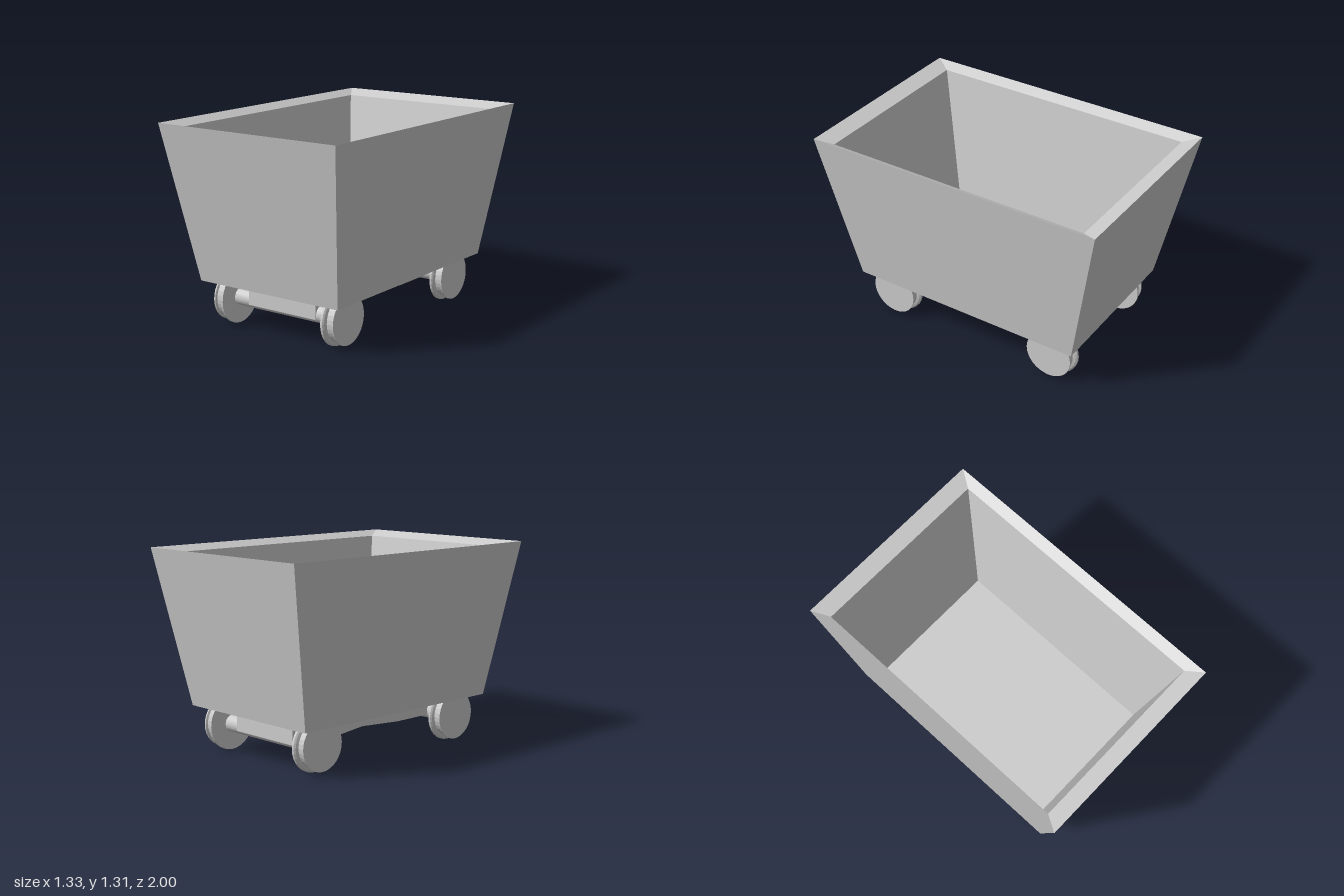
import * as THREE from 'three';

const material = new THREE.MeshStandardMaterial({ color: 0xcccccc, flatShading: true });

function addMesh(parent, name, geometry) {
  const mesh = new THREE.Mesh(geometry, material);
  mesh.name = name;
  parent.add(mesh);
  return mesh;
}

// Joins rectangular sections [halfWidth, y, halfDepth] and caps both ends
function loftRectangles(sections) {
  const positions = [];
  const index = [];
  for (const [w, y, d] of sections) {
    positions.push(-w, y, d, w, y, d, w, y, -d, -w, y, -d);
  }
  for (let s = 0; s < sections.length - 1; s++) {
    for (let i = 0; i < 4; i++) {
      const a = s * 4 + i;
      const b = s * 4 + (i + 1) % 4;
      index.push(a, b, b + 4, a, b + 4, a + 4);
    }
  }
  const e = (sections.length - 1) * 4;
  index.push(0, 2, 1, 0, 3, 2, e, e + 1, e + 2, e, e + 2, e + 3);
  const geometry = new THREE.BufferGeometry();
  geometry.setAttribute('position', new THREE.Float32BufferAttribute(positions, 3));
  geometry.setIndex(index);
  const flat = geometry.toNonIndexed();
  flat.computeVertexNormals();
  return flat;
}

export function createModel() {
  const cart = new THREE.Group();
  cart.name = 'mineCart';

  // Open tub: outer walls, rim sloping inward, inner walls and floor
  addMesh(cart, 'tub', loftRectangles([
    [0.532, 0.295, 0.8],
    [0.666, 1.308, 1.0],
    [0.6, 1.272, 0.893],
    [0.475, 0.345, 0.715],
  ]));

  // Underframe with a narrowed waist
  const plan = new THREE.Shape([
    [-0.262, -0.66], [0.262, -0.66], [0.262, -0.26], [0.2, 0], [0.262, 0.26],
    [0.262, 0.66], [-0.262, 0.66], [-0.262, 0.26], [-0.2, 0], [-0.262, -0.26],
  ].map(([x, z]) => new THREE.Vector2(x, z)));
  const frame = new THREE.ExtrudeGeometry(plan, { depth: 0.147, bevelEnabled: false });
  frame.rotateX(-Math.PI / 2);
  addMesh(cart, 'underframe', frame).position.y = 0.15;

  // Flanged wheel profile: radius, distance from the cart's centre line
  const profile = [
    [0, 0.382], [0.172, 0.382], [0.172, 0.397], [0.162, 0.405], [0.145, 0.411],
    [0.145, 0.45], [0.158, 0.456], [0.158, 0.466], [0, 0.466],
  ].map(([r, h]) => new THREE.Vector2(r, h));

  for (const end of [1, -1]) {
    const wheelset = new THREE.Group();
    wheelset.name = end > 0 ? 'frontWheelset' : 'backWheelset';
    wheelset.position.set(0, 0.172, end * 0.6);
    cart.add(wheelset);

    const axle = new THREE.CylinderGeometry(0.055, 0.055, 0.8, 32);
    addMesh(wheelset, 'axle', axle.rotateZ(Math.PI / 2));

    for (const side of [1, -1]) {
      const wheel = new THREE.LatheGeometry(profile, 32).rotateZ(-side * Math.PI / 2);
      addMesh(wheelset, side > 0 ? 'leftWheel' : 'rightWheel', wheel);
    }
  }
  return cart;
}
